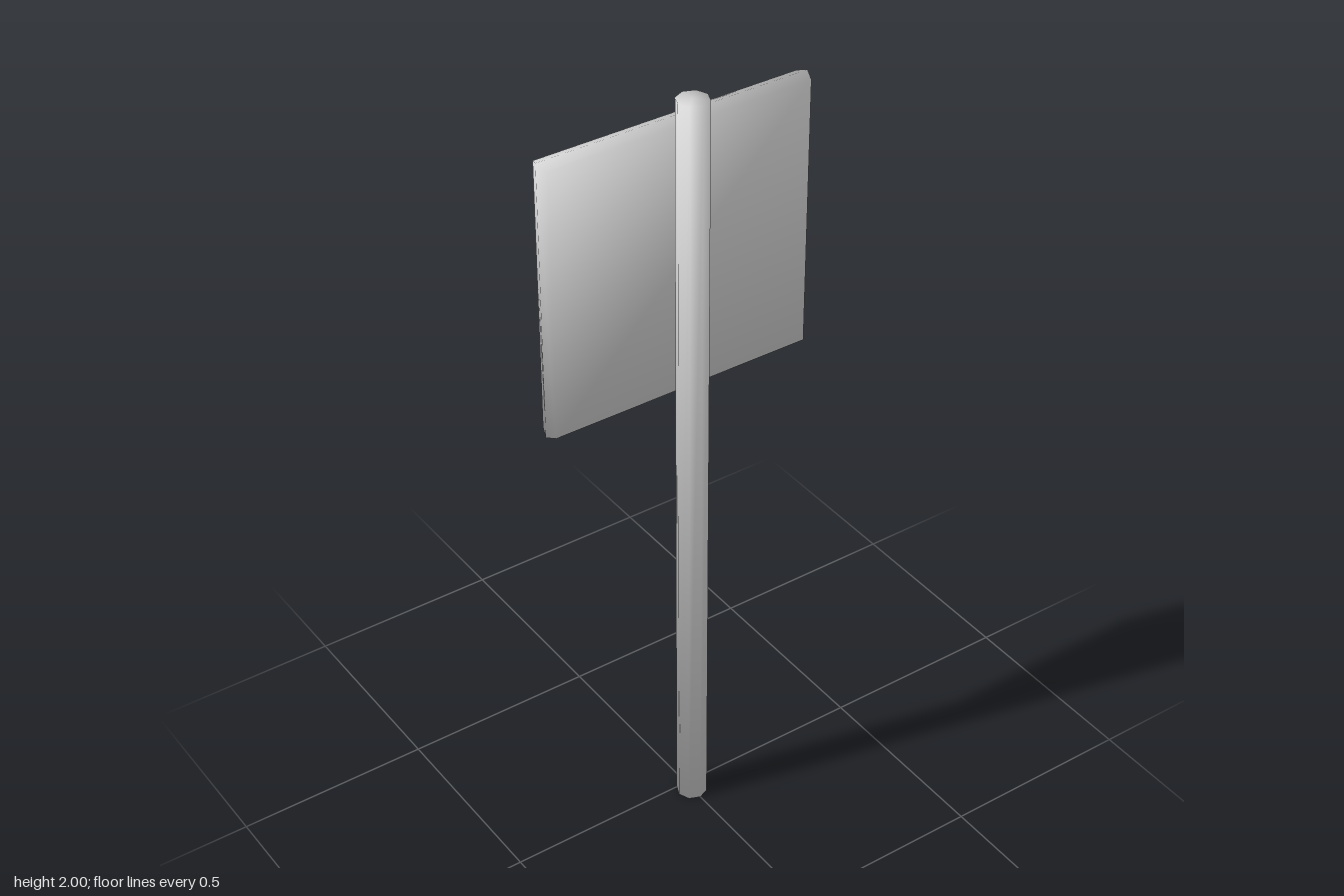
import * as THREE from 'three';

const metal = new THREE.MeshStandardMaterial({ name: 'grey metal', color: 0xcccccc });
const board = new THREE.MeshStandardMaterial({ name: 'brown board', color: 0x6b5f53 });

// Square cross-sections [half size, z, outward slope, z slope] joined into a soft-shaded shell
function squareShell(rings) {
  const corners = [[1, 1], [-1, 1], [-1, -1], [1, -1]];
  const pos = [], nor = [], index = [];
  for (const [half, z, out, nz] of rings) {
    for (const [sx, sy] of corners) {
      pos.push(sx * half, sy * half, z);
      nor.push(...new THREE.Vector3(sx * out, sy * out, nz).normalize().toArray());
    }
  }
  index.push(0, 1, 2, 0, 2, 3); // closed front face
  for (let r = 0; r < rings.length - 1; r++) {
    for (let i = 0; i < 4; i++) {
      const a = r * 4 + i, b = r * 4 + (i + 1) % 4;
      index.push(a, a + 4, b, b, a + 4, b + 4);
    }
  }
  const geo = new THREE.BufferGeometry();
  geo.setAttribute('position', new THREE.Float32BufferAttribute(pos, 3));
  geo.setAttribute('normal', new THREE.Float32BufferAttribute(nor, 3));
  geo.setIndex(index);
  return geo;
}

// Octagonal post whose shading runs softly over the end caps
function postGeometry(radius, height) {
  const geo = new THREE.CylinderGeometry(radius, radius, height, 8);
  const p = geo.attributes.position, n = new THREE.Vector3();
  for (let i = 0; i < p.count; i++) {
    n.set(p.getX(i) / radius, Math.sign(p.getY(i)), p.getZ(i) / radius).normalize();
    geo.attributes.normal.setXYZ(i, n.x, n.y, n.z);
  }
  return geo;
}

export function createModel() {
  const model = new THREE.Group();
  model.name = 'signpost';

  const post = new THREE.Mesh(postGeometry(0.039, 2), metal);
  post.name = 'post';
  post.position.set(0, 1, 0.026);
  model.add(post);

  const sign = new THREE.Group();
  sign.name = 'sign';
  sign.position.set(0, 1.575, -0.04);
  model.add(sign);

  // Bevelled backing shell with a raised rim
  const frame = new THREE.Mesh(squareShell([
    [0.345, 0.028, 1, 1],
    [0.355, 0, 1, 0],
    [0.345, -0.027, 1, -1],
    [0.323, -0.027, -0.4, -1],
    [0.318, -0.019, -0.6, -1],
  ]), metal);
  frame.name = 'signFrame';
  sign.add(frame);

  // Recessed panel facing backwards
  const panel = new THREE.Mesh(new THREE.PlaneGeometry(0.636, 0.636), board);
  panel.name = 'signPanel';
  panel.rotation.y = Math.PI;
  panel.position.z = -0.019;
  sign.add(panel);

  return model;
}
